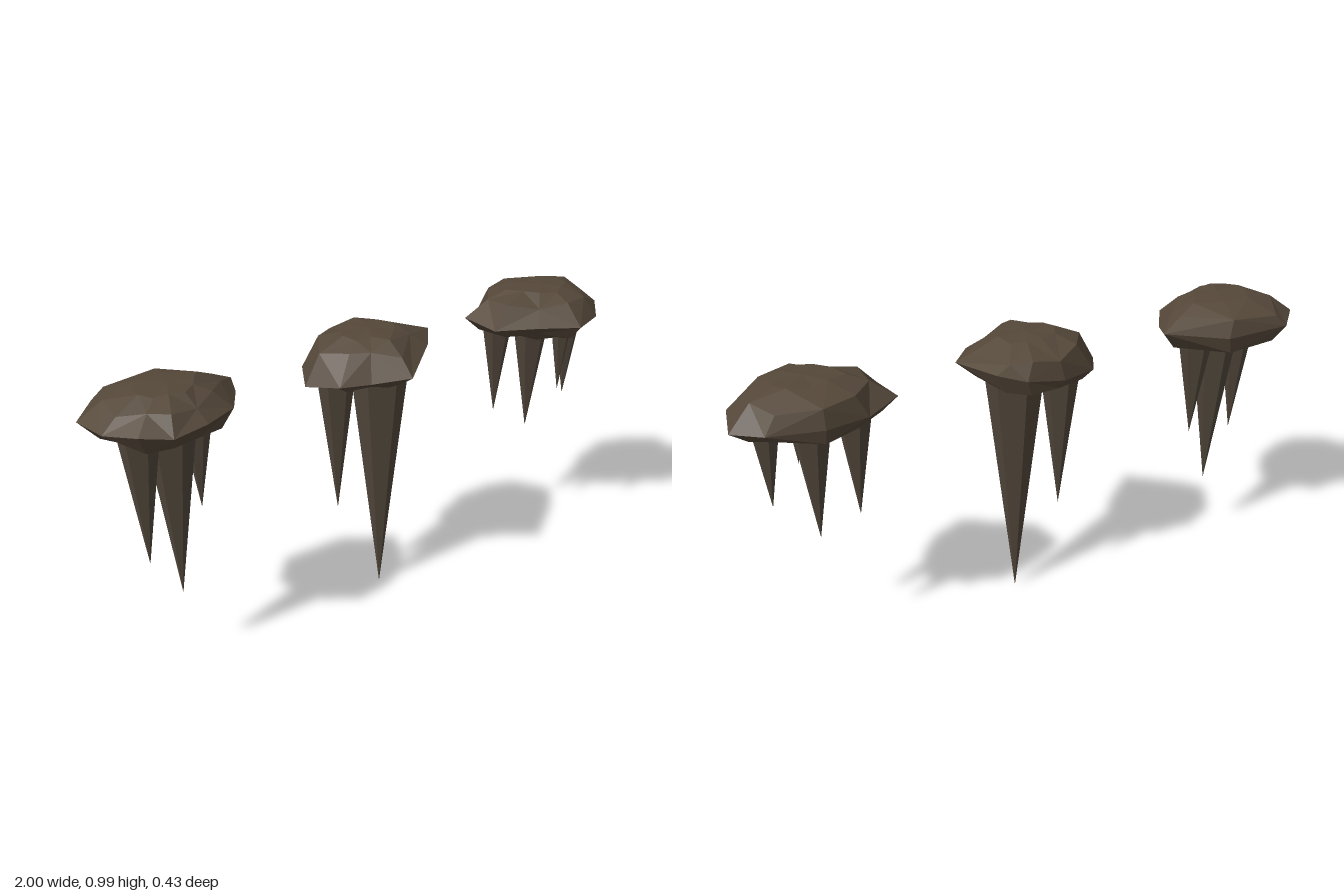
import * as THREE from 'three';

const rock = new THREE.MeshStandardMaterial({ color: 0x55483a, flatShading: true });
rock.name = 'brown rock';
const spikeStone = new THREE.MeshStandardMaterial({ color: 0x50463a, flatShading: true });
spikeStone.name = 'grey brown stone';

// Widest edge of each boulder as [x, z] from its centre, seen from above
const rightRim = [[-0.26, -0.08], [-0.24, 0.05], [-0.17, 0.14], [-0.08, 0.185], [0.04, 0.17],
  [0.16, 0.11], [0.23, 0], [0.26, -0.08], [0.07, -0.192], [-0.16, -0.192]];
const middleRim = [[-0.25, -0.01], [-0.19, 0.1], [-0.1, 0.145], [0, 0.23], [0.17, 0.09],
  [0.25, -0.01], [0.17, -0.15], [0.08, -0.185], [-0.05, -0.188], [-0.19, -0.12]];
const leftRim = [[-0.268, -0.08], [-0.25, 0.06], [-0.12, 0.145], [0, 0.225], [0.14, 0.16],
  [0.23, 0.06], [0.26, -0.08], [0.17, -0.145], [0, -0.195], [-0.15, -0.15]];

// Spikes as [x, z, tip height, radius at y = 0.82]
const rightSpikes = [[-0.86, 0.01, 0.42, 0.058], [-0.74, -0.025, 0.25, 0.078], [-0.62, -0.085, 0.5, 0.052]];
const middleSpikes = [[0.04, -0.022, 0, 0.096], [-0.105, -0.067, 0.335, 0.063]];
const leftSpikes = [[0.615, -0.088, 0.5, 0.05], [0.74, -0.045, 0.42, 0.063], [0.87, 0.008, 0.54, 0.046],
  [0.75, 0.1, 0.62, 0.03]];

// Faceted boulder: rings shrunk from the rim toward a top and a bottom point
function boulder(cx, rim, rimY, tilt, bottom) {
  const top = 0.99, cz = -0.02, n = rim.length;
  const wobble = (i, k) => Math.sin(i * 2.4 + k * 1.7 + cx * 3);
  // [scale, scale at the steep back, height, height wobble, share of the tilt]
  const levels = [
    [0.42, 0.42, top - 0.006, 0.003, 0],
    [0.73, 0.93, 0.953, 0.009, 0],
    [1, 1, rimY, 0.006, 1],
    [0.76, 0.93, 0.846, 0.008, 0.3],
    [0.4, 0.4, bottom + 0.01, 0.006, 0],
  ];
  const rings = levels.map(([s, back, y, amp, lean], k) => rim.map(([x, z], i) => {
    const f = s === 1 ? 1 : s + 0.05 * wobble(i, k);
    return [cx + x * f, y + amp * wobble(i + 1, k) + tilt * lean * x, cz + z * (z < -0.11 ? back : f)];
  }));
  const out = [];
  const tri = (a, b, c) => out.push(...a, ...b, ...c);
  for (let i = 0; i < n; i++) {
    const j = (i + 1) % n;
    tri([cx, top, cz], rings[0][i], rings[0][j]);
    for (let k = 0; k < rings.length - 1; k++) {
      const [a, b, c, d] = [rings[k][i], rings[k][j], rings[k + 1][j], rings[k + 1][i]];
      // Alternate the diagonals for a chipped look
      if ((i + k) % 2) { tri(a, d, c); tri(a, c, b); } else { tri(a, d, b); tri(b, d, c); }
    }
    tri([cx, bottom, cz], rings[4][j], rings[4][i]);
  }
  const geo = new THREE.BufferGeometry();
  geo.setAttribute('position', new THREE.Float32BufferAttribute(out, 3));
  geo.computeVertexNormals();
  return geo;
}

// Six-sided spike hanging from inside the boulder down to its tip
function spike([x, z, tip, r]) {
  const h = 0.87 - tip;
  const mesh = new THREE.Mesh(new THREE.CylinderGeometry(r * h / (0.82 - tip), 0, h, 6), spikeStone);
  mesh.position.set(x, tip + h / 2, z);
  return mesh;
}

function cluster(name, capGeometry, spikes) {
  const group = new THREE.Group();
  group.name = name;
  const cap = new THREE.Mesh(capGeometry, rock);
  cap.name = 'rockCap';
  group.add(cap);
  spikes.forEach((s, k) => {
    const mesh = spike(s);
    mesh.name = `spike${k + 1}`;
    group.add(mesh);
  });
  return group;
}

export function createModel() {
  const model = new THREE.Group();
  model.name = 'hangingSpikes';
  model.add(
    cluster('rightCluster', boulder(-0.74, rightRim, 0.905, 0, 0.825), rightSpikes),
    cluster('middleCluster', boulder(0, middleRim, 0.89, 0.18, 0.81), middleSpikes),
    cluster('leftCluster', boulder(0.74, leftRim, 0.888, 0, 0.8), leftSpikes),
  );
  return model;
}
